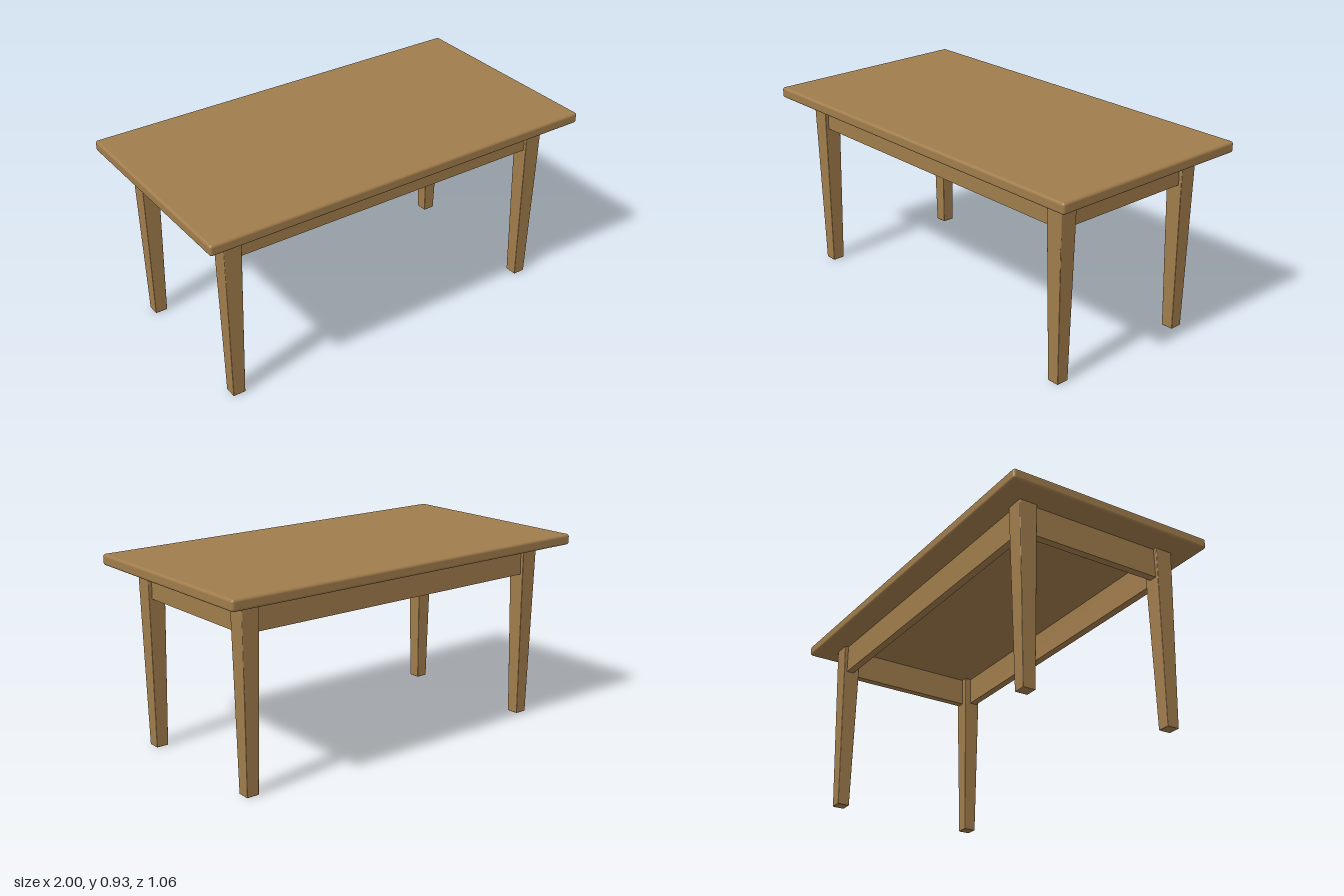
import * as THREE from 'three';
import { RoundedBoxGeometry } from 'three/addons/geometries/RoundedBoxGeometry.js';

const TOP_Y = 0.93, UNDER_Y = 0.877;   // tabletop faces
const LEG_X = 0.836, LEG_Z = 0.375;    // leg centres
const LEG_TOP = 0.09, LEG_FOOT = 0.061;
const APRON_H = 0.144, APRON_T = 0.038;

// Square leg with softened edges, narrowing evenly towards the foot
function legGeometry() {
  const geo = new RoundedBoxGeometry(LEG_TOP, UNDER_Y + 0.01, LEG_TOP, 2, 0.004);
  geo.translate(0, (UNDER_Y + 0.01) / 2, 0);
  const p = geo.attributes.position;
  for (let i = 0; i < p.count; i++) {
    const s = THREE.MathUtils.lerp(LEG_FOOT / LEG_TOP, 1, p.getY(i) / UNDER_Y);
    p.setX(i, p.getX(i) * s);
    p.setZ(i, p.getZ(i) * s);
  }
  return geo;
}

export function createModel() {
  const table = new THREE.Group();
  table.name = 'table';
  const wood = new THREE.MeshStandardMaterial({ color: 0xa07c4c });
  wood.name = 'wood';

  const add = (name, geo, x, y, z) => {
    const mesh = new THREE.Mesh(geo, wood);
    mesh.name = name;
    mesh.position.set(x, y, z);
    table.add(mesh);
  };

  // Tabletop with rounded edges
  add('tabletop', new RoundedBoxGeometry(2, TOP_Y - UNDER_Y, 1.06, 4, 0.013),
    0, (TOP_Y + UNDER_Y) / 2, 0);

  // Four tapered legs
  const leg = legGeometry();
  for (const [sx, side] of [[1, 'Left'], [-1, 'Right']]) {
    for (const [sz, end] of [[1, 'front'], [-1, 'back']]) {
      add(`${end}${side}Leg`, leg, sx * LEG_X, 0, sz * LEG_Z);
    }
  }

  // Aprons running between the leg centres, set in from the outer leg faces
  const apronY = UNDER_Y - APRON_H / 2;
  const longApron = new THREE.BoxGeometry(2 * LEG_X - 0.07, APRON_H, APRON_T);
  const shortApron = new THREE.BoxGeometry(APRON_T, APRON_H, 2 * LEG_Z - 0.07);
  add('frontApron', longApron, 0, apronY, LEG_Z + 0.008);
  add('backApron', longApron, 0, apronY, -LEG_Z - 0.008);
  add('leftApron', shortApron, LEG_X + 0.008, apronY, 0);
  add('rightApron', shortApron, -LEG_X - 0.008, apronY, 0);

  return table;
}
